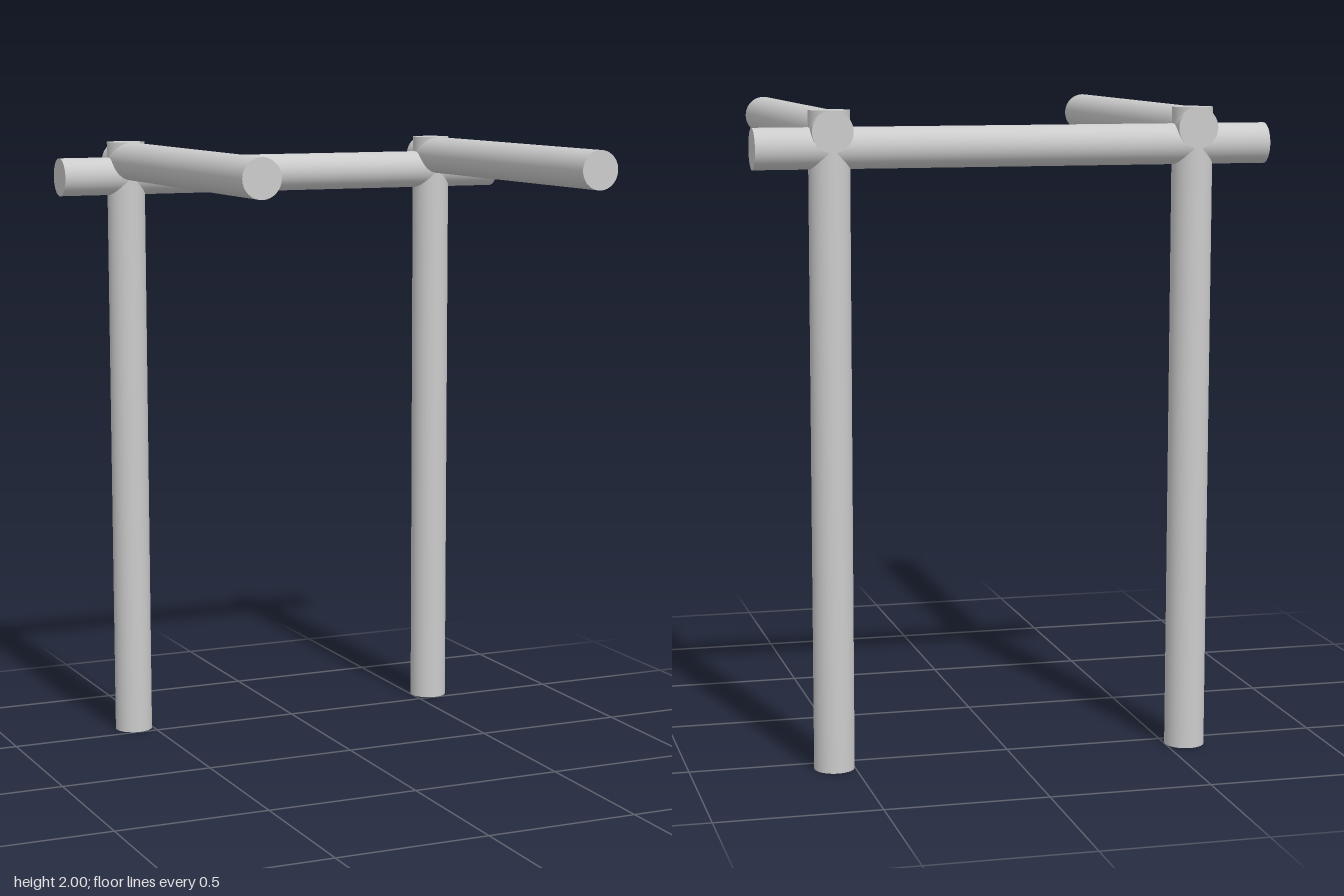
import * as THREE from 'three';

const R = 0.062; // shared pole radius
const POST_X = 0.562;
const BACK_Z = -0.562;

export function createModel() {
  const group = new THREE.Group();
  const material = new THREE.MeshStandardMaterial({ color: 0xcccccc });

  // Round pole of a given length, laid along one axis
  function pole(name, length, axis, x, y, z) {
    const geometry = new THREE.CylinderGeometry(R, R, length, 48);
    if (axis === 'x') geometry.rotateZ(Math.PI / 2);
    if (axis === 'z') geometry.rotateX(Math.PI / 2);
    const mesh = new THREE.Mesh(geometry, material);
    mesh.name = name;
    mesh.position.set(x, y, z);
    group.add(mesh);
  }

  // Upright posts and the arms reaching forward from their tops
  for (const [side, s] of [['left', 1], ['right', -1]]) {
    pole(side + 'Post', 2, 'y', s * POST_X, 1, BACK_Z);
    pole(side + 'Arm', 1.248, 'z', s * POST_X, 2 - R, 0);
  }

  // Crossbar joining the posts, overhanging at both ends
  pole('crossbar', 1.584, 'x', 0, 1.888, BACK_Z);

  return group;
}
